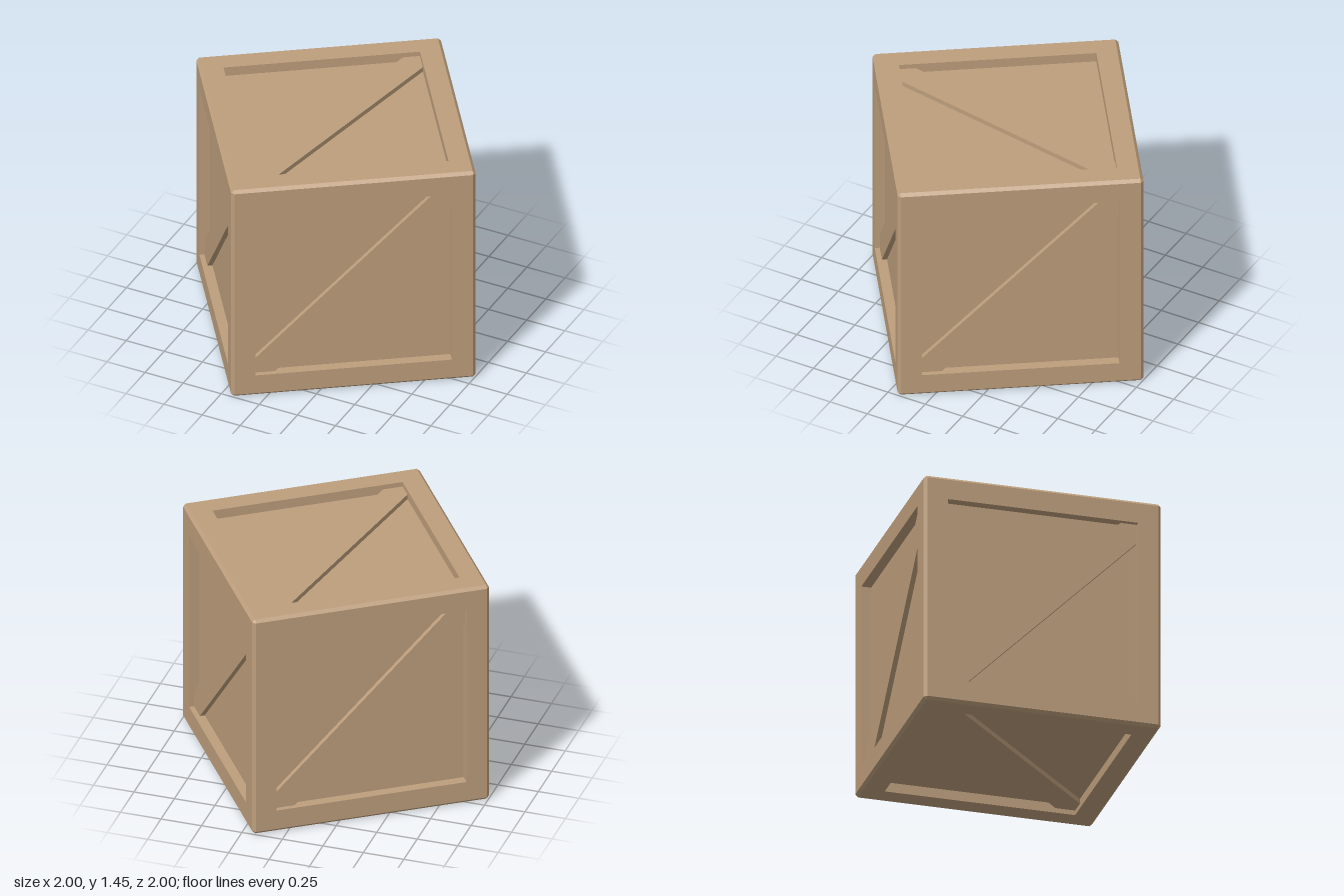
import * as THREE from 'three';

const H = 0.725;   // half size of the crate
const K = 0.707;   // half size of a flat face inside the chamfers
const W = 0.582;   // half size of the recessed opening
const DEPTH = 0.06;
const BRACE = 0.03;

const square = (Type, s) => {
  const p = new Type();
  p.moveTo(-s, -s);
  p.lineTo(s, -s);
  p.lineTo(s, s);
  p.lineTo(-s, s);
  p.closePath();
  return p;
};

// Chamfer strips along the 12 edges and triangles on the 8 corners
function chamferGeometry() {
  const pos = [];
  const tri = (a, b, c) => {
    const n = b.clone().sub(a).cross(c.clone().sub(a));
    const order = n.dot(a) < 0 ? [a, c, b] : [a, b, c];
    order.forEach((v) => pos.push(v.x, v.y, v.z));
  };
  // Place (u, v, w) with u on the given axis
  const point = (axis, u, v, w) => {
    const p = new THREE.Vector3();
    p.setComponent(axis, u);
    p.setComponent((axis + 1) % 3, v);
    p.setComponent((axis + 2) % 3, w);
    return p;
  };
  for (const s of [-1, 1]) for (const t of [-1, 1]) {
    for (let axis = 0; axis < 3; axis++) {
      const a = point(axis, -K, s * H, t * K), b = point(axis, K, s * H, t * K);
      const c = point(axis, K, s * K, t * H), d = point(axis, -K, s * K, t * H);
      tri(a, b, c);
      tri(a, c, d);
    }
    for (const r of [-1, 1]) {
      tri(point(0, r * H, s * K, t * K), point(0, r * K, s * H, t * K), point(0, r * K, s * K, t * H));
    }
  }
  const g = new THREE.BufferGeometry();
  g.setAttribute('position', new THREE.Float32BufferAttribute(pos, 3));
  g.computeVertexNormals();
  return g;
}

export function createModel() {
  const model = new THREE.Group();
  model.name = 'crate';
  const wood = new THREE.MeshStandardMaterial({ color: 0xbd9e7c });
  wood.name = 'wood';

  const body = new THREE.Group();
  body.name = 'crateBody';
  body.position.y = H;
  body.rotation.y = THREE.MathUtils.degToRad(35);
  model.add(body);

  const add = (parent, geometry, name, z = 0) => {
    const m = new THREE.Mesh(geometry, wood);
    m.name = name;
    m.position.z = z;
    parent.add(m);
  };

  // Inner box whose sides are the recessed panels
  const inner = 2 * (H - DEPTH);
  add(body, new THREE.BoxGeometry(inner, inner, inner), 'panels');
  add(body, chamferGeometry(), 'chamferedEdges');

  // Border frame of one side
  const ring = square(THREE.Shape, K);
  ring.holes.push(square(THREE.Path, W));
  const frameGeo = new THREE.ExtrudeGeometry(ring, { depth: DEPTH, bevelEnabled: false });

  // Diagonal board, cut to fit the opening
  const a = 0.10, b = 0.12;
  const board = new THREE.Shape([
    [-W, -W], [-W + b, -W], [W, W - b], [W, W], [W - a, W], [-W, -W + a],
  ].map(([x, y]) => new THREE.Vector2(x, y)));
  const braceGeo = new THREE.ExtrudeGeometry(board, { depth: BRACE, bevelEnabled: false });

  // The same framed side on all six faces
  const q = Math.PI / 2;
  const sides = {
    front: [0, 0], left: [0, q], back: [0, 2 * q], right: [0, -q], top: [-q, 0], bottom: [q, 0],
  };
  for (const [name, [rx, ry]] of Object.entries(sides)) {
    const side = new THREE.Group();
    side.name = name + 'Side';
    side.rotation.set(rx, ry, 0);
    add(side, frameGeo, name + 'Frame', H - DEPTH);
    add(side, braceGeo, name + 'Brace', H - DEPTH);
    body.add(side);
  }
  return model;
}
